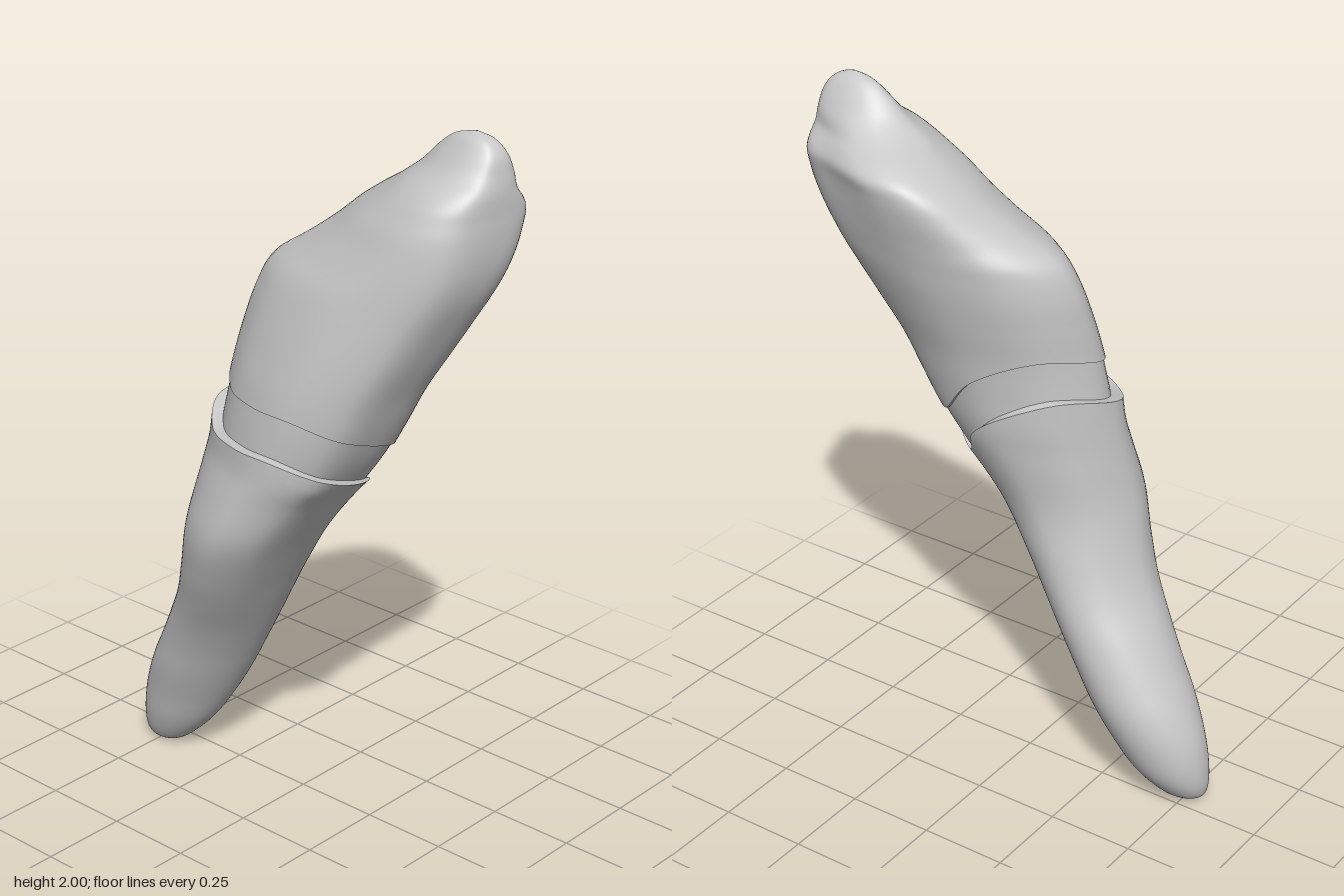
import * as THREE from 'three';

const SIDES = 80;
const { lerp, smoothstep, clamp } = THREE.MathUtils;

// Horizontal sections: [y, xMin, xMax, zMin, zMax]
const rootRows = [
  [0, -0.06, -0.05, -0.5, -0.49], [0.008, -0.085, -0.025, -0.535, -0.45], [0.03, -0.105, 0.01, -0.56, -0.41],
  [0.1, -0.13, 0.06, -0.567, -0.34], [0.2, -0.15, 0.095, -0.55, -0.27], [0.3, -0.172, 0.115, -0.51, -0.21],
  [0.4, -0.19, 0.118, -0.455, -0.155], [0.5, -0.215, 0.115, -0.4, -0.1], [0.6, -0.25, 0.108, -0.345, -0.045],
  [0.7, -0.285, 0.104, -0.31, 0.01], [0.85, -0.318, 0.105, -0.28, 0.1], [1.0, -0.3, 0.138, -0.255, 0.21],
  [1.06, -0.29, 0.154, -0.247, 0.275], [1.1, -0.287, 0.163, -0.242, 0.29], [1.2, -0.28, 0.172, -0.235, 0.31],
];
const crownRows = [
  [0.9, -0.275, 0.105, -0.24, 0.13], [1.0, -0.272, 0.13, -0.23, 0.205], [1.1, -0.266, 0.152, -0.22, 0.271],
  [1.2, -0.257, 0.167, -0.206, 0.324], [1.3, -0.242, 0.185, -0.193, 0.372], [1.4, -0.218, 0.213, -0.18, 0.428],
  [1.5, -0.19, 0.242, -0.16, 0.483], [1.58, -0.165, 0.263, -0.122, 0.526], [1.64, -0.142, 0.281, -0.04, 0.55],
  [1.7, -0.12, 0.299, 0.035, 0.564], [1.76, -0.098, 0.312, 0.1, 0.57], [1.8, -0.077, 0.313, 0.155, 0.571],
  [1.83, -0.058, 0.285, 0.205, 0.571], [1.86, -0.028, 0.24, 0.255, 0.57], [1.9, 0.025, 0.207, 0.31, 0.565],
  [1.95, 0.065, 0.175, 0.36, 0.552], [1.985, 0.093, 0.147, 0.41, 0.52], [2.0, 0.118, 0.122, 0.468, 0.476],
];

// Section outlines as (x fraction, gum line height, z fraction)
const sampleOutline = (points) => {
  const curve = new THREE.CatmullRomCurve3(points.map((p) => new THREE.Vector3(...p)), true, 'catmullrom', 0.5);
  return Array.from({ length: SIDES }, (_, i) => curve.getPoint(i / SIDES));
};
const neckRing = sampleOutline([
  [0.74, 1.01, 0.985], [0.93, 0.985, 0.83], [1, 1.12, 0.49], [0.85, 1.2, 0.16], [0.49, 1.17, 0],
  [0.2, 1.13, 0.17], [0.04, 1.13, 0.43], [0.01, 1.13, 0.68], [0.16, 1.09, 0.92], [0.46, 1.045, 1],
]);
const shoulderRing = sampleOutline([
  [0.74, 0, 0.98], [0.86, 0, 0.74], [0.99, 0, 0.36], [0.91, 0, 0.08], [0.57, 0, 0],
  [0.22, 0, 0.19], [0.04, 0, 0.48], [0.01, 0, 0.73], [0.15, 0, 0.93], [0.45, 0, 1],
]);

// Smooth interpolation between section rows
function sectionAt(rows, y) {
  let i = 0;
  while (i < rows.length - 2 && y > rows[i + 1][0]) i++;
  const a = rows[i], b = rows[i + 1], h = b[0] - a[0];
  const t = clamp((y - a[0]) / h, 0, 1), t2 = t * t, t3 = t2 * t;
  const slope = (j, k) => {
    const p = rows[Math.max(j - 1, 0)], q = rows[Math.min(j + 1, rows.length - 1)];
    return (q[k] - p[k]) / (q[0] - p[0]);
  };
  return [1, 2, 3, 4].map((k) => (2 * t3 - 3 * t2 + 1) * a[k] + (t3 - 2 * t2 + t) * h * slope(i, k)
    + (3 * t2 - 2 * t3) * b[k] + (t3 - t2) * h * slope(i + 1, k));
}

// One surface point: elliptical root, neck outline, shoulder outline, rounded cusp
function pointAt(rows, i, y, grow) {
  const [x0, x1, z0, z1] = sectionAt(rows, y);
  const shoulder = smoothstep(y, 1.54, 1.8) * (1 - smoothstep(y, 1.82, 1.92));
  const u = lerp(neckRing[i].x, shoulderRing[i].x, shoulder) - 0.5;
  const v = lerp(neckRing[i].z, shoulderRing[i].z, shoulder) - 0.5;
  const f = lerp(0.5 / Math.hypot(u, v), 1, smoothstep(y, 0.35, 0.95));
  return [(x0 + x1) / 2 + u * f * (x1 - x0 + 2 * grow), y, (z0 + z1) / 2 + v * f * (z1 - z0 + 2 * grow)];
}

// Closed-ring loft; place(i, gumHeight, s) gives a position for s from 0 to 1
function loft(name, steps, material, place) {
  const pos = [], index = [];
  for (let r = 0; r <= steps; r++) {
    for (let i = 0; i < SIDES; i++) pos.push(...place(i, neckRing[i].y, r / steps));
  }
  for (let r = 0; r < steps; r++) {
    for (let i = 0; i < SIDES; i++) {
      const j = (i + 1) % SIDES, a = r * SIDES + i, b = r * SIDES + j;
      index.push(a, b, a + SIDES, b, b + SIDES, a + SIDES);
    }
  }
  const g = new THREE.BufferGeometry();
  g.setAttribute('position', new THREE.Float32BufferAttribute(pos, 3));
  g.setIndex(index);
  g.computeVertexNormals();
  const mesh = new THREE.Mesh(g, material);
  mesh.name = name;
  return mesh;
}

export function createModel() {
  const group = new THREE.Group();
  group.name = 'tooth';
  const enamel = new THREE.MeshStandardMaterial({ color: 0xc8c8c8, side: THREE.DoubleSide });
  enamel.name = 'pale grey enamel';
  const bandHeight = 0.115;
  const bandInset = -0.004;

  // Ledge from one rim in to the band surface
  const ledge = (name, rows, rise, grow) => loft(name, 1, enamel, (i, gum, s) => (
    s < 0.5 ? pointAt(rows, i, gum + rise, grow) : pointAt(crownRows, i, gum + rise, bandInset - 0.002)));

  group.add(
    // Tapering root, ending in the wavy lip
    loft('root', 56, enamel, (i, gum, s) => pointAt(rootRows, i, gum * s ** 1.5, 0.003 * s ** 4)),
    ledge('rootLip', rootRows, 0, 0.003),
    // Narrow band between root and crown
    loft('neckBand', 8, enamel, (i, gum, s) =>
      pointAt(crownRows, i, gum - 0.02 + (bandHeight + 0.03) * s, bandInset)),
    // Crown with a pointed cusp and sloping back face
    ledge('crownRim', crownRows, bandHeight, 0.003),
    loft('crown', 64, enamel, (i, gum, s) => {
      const start = gum + bandHeight;
      return pointAt(crownRows, i, 2 - (2 - start) * (1 - s) ** 1.5, 0.003 * (1 - s));
    }),
  );
  return group;
}
